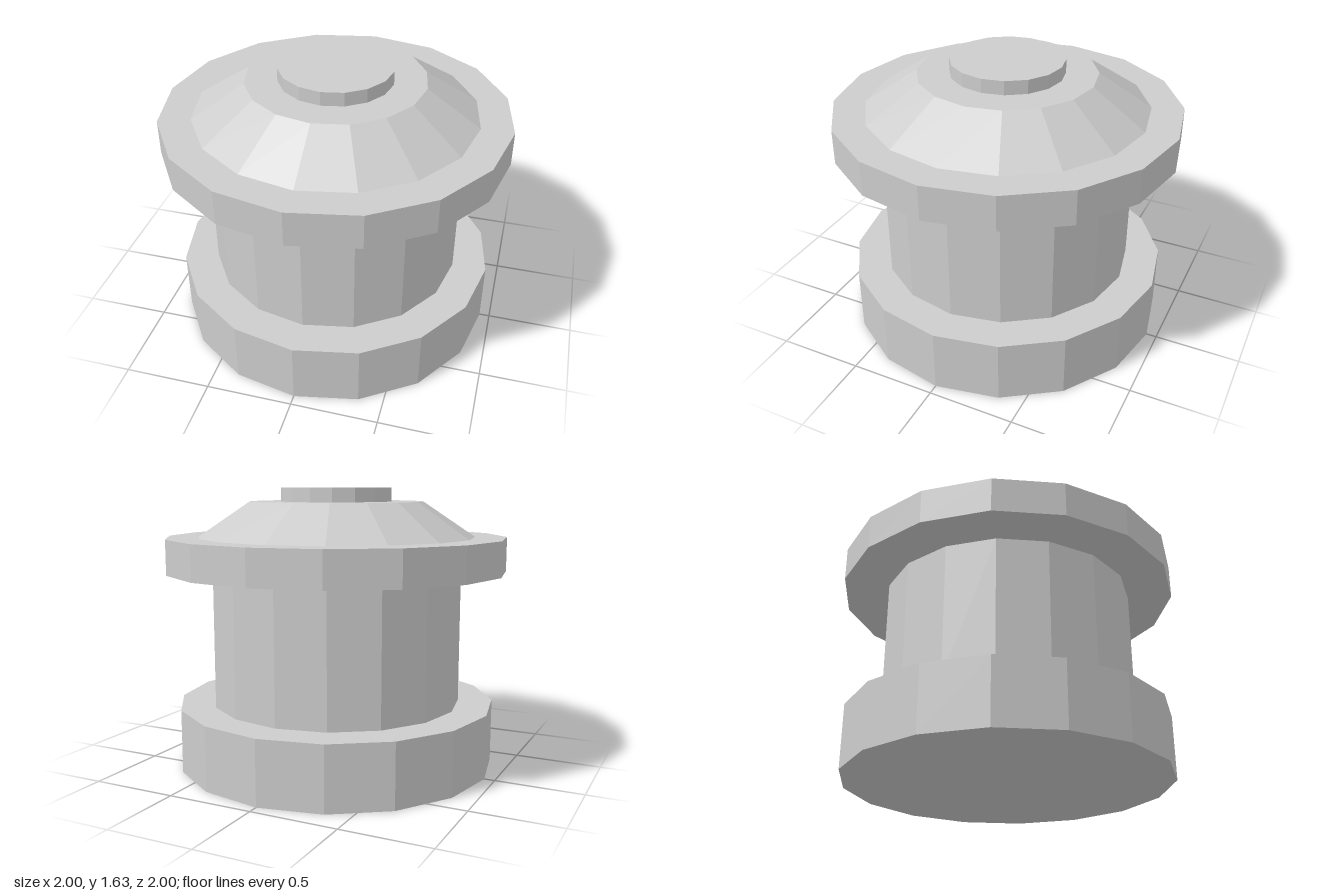
import * as THREE from 'three';

const SIDES = 16;

export function createModel() {
  const model = new THREE.Group();
  model.name = 'flangedPost';

  const grey = new THREE.MeshStandardMaterial({ color: 0xcccccc, flatShading: true });
  grey.name = 'light grey';

  // Stacked drums: name, bottom radius, top radius, bottom y, top y
  const parts = [
    ['base', 0.94, 0.94, 0, 0.37],
    ['column', 0.738, 0.738, 0.37, 1.15],
    ['rim', 1, 1, 1.15, 1.35],
    ['slopedRoof', 0.815, 0.51, 1.35, 1.555],
    ['topCap', 0.325, 0.325, 1.555, 1.635],
  ];

  for (const [name, bottomRadius, topRadius, y0, y1] of parts) {
    const geometry = new THREE.CylinderGeometry(topRadius, bottomRadius, y1 - y0, SIDES);
    const mesh = new THREE.Mesh(geometry, grey);
    mesh.name = name;
    mesh.position.y = (y0 + y1) / 2;
    model.add(mesh);
  }

  return model;
}
